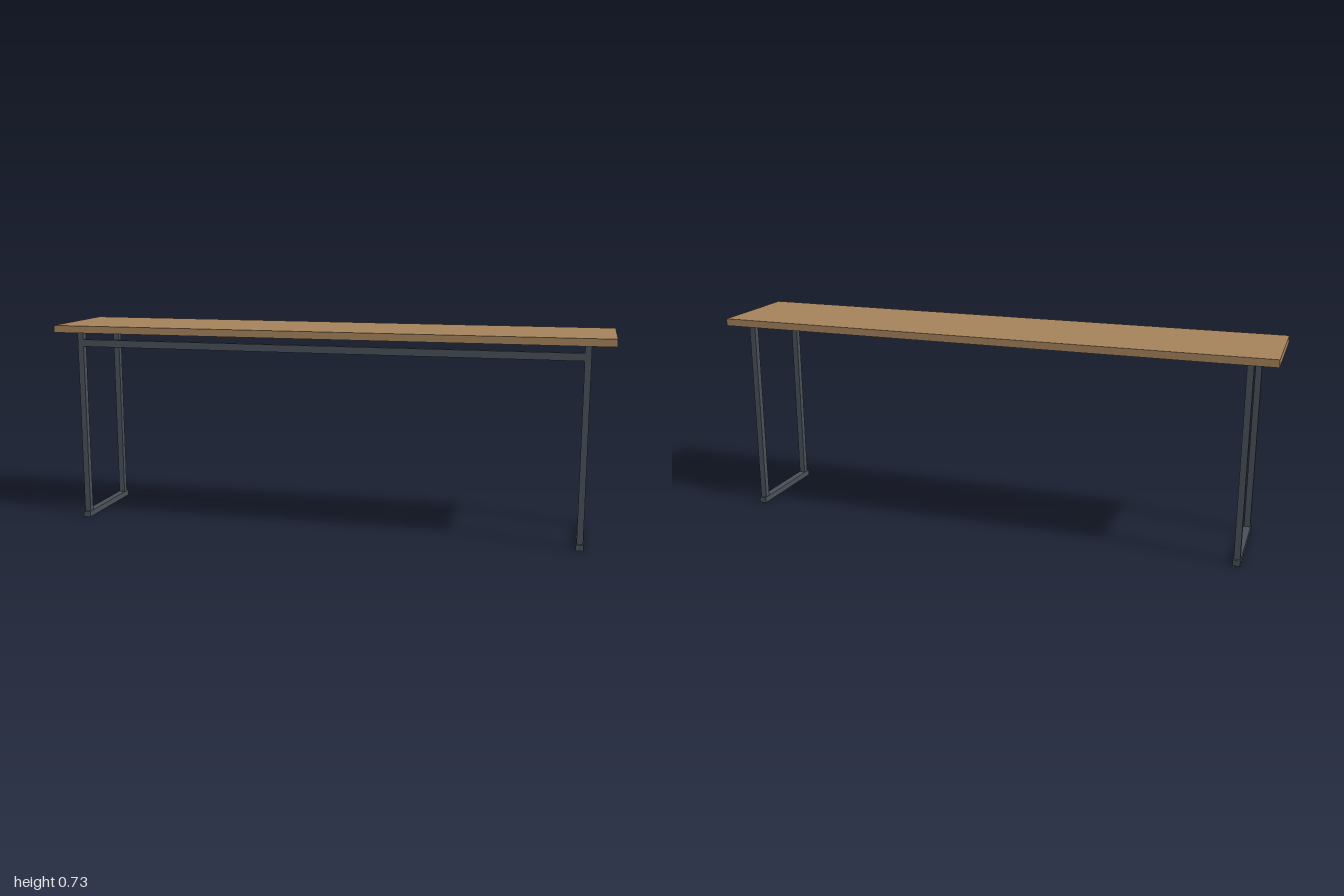
import * as THREE from 'three';

export function createModel() {
  const model = new THREE.Group();
  model.name = 'benchTable';
  const wood = new THREE.MeshStandardMaterial({ color: 0xa5835b });
  const steel = new THREE.MeshStandardMaterial({ color: 0x485057 });

  const box = (name, size, position, material) => {
    const mesh = new THREE.Mesh(new THREE.BoxGeometry(...size), material);
    mesh.name = name;
    mesh.position.set(...position);
    model.add(mesh);
  };

  const footHeight = 0.021, topBottom = 0.699, topHeight = 0.026;
  const legX = 0.909, legZ = 0.152, legWidth = 0.022;
  const legHeight = topBottom - footHeight;

  // Plank top
  box('top', [2, topHeight, 0.379], [0, topBottom + topHeight / 2, 0], wood);

  // End frames: two legs standing on a floor bar
  for (const [side, sx] of [['left', 1], ['right', -1]]) {
    for (const [end, sz] of [['Front', 1], ['Back', -1]]) {
      box(`${side}${end}Leg`, [legWidth, legHeight, legWidth],
        [sx * legX, footHeight + legHeight / 2, sz * legZ], steel);
    }
    box(`${side}FootBar`, [0.026, footHeight, 0.344], [sx * legX, footHeight / 2, 0], steel);
  }

  // Single rail between the front legs
  box('frontRail', [2 * legX - legWidth, 0.026, legWidth], [0, 0.66, legZ], steel);

  return model;
}
